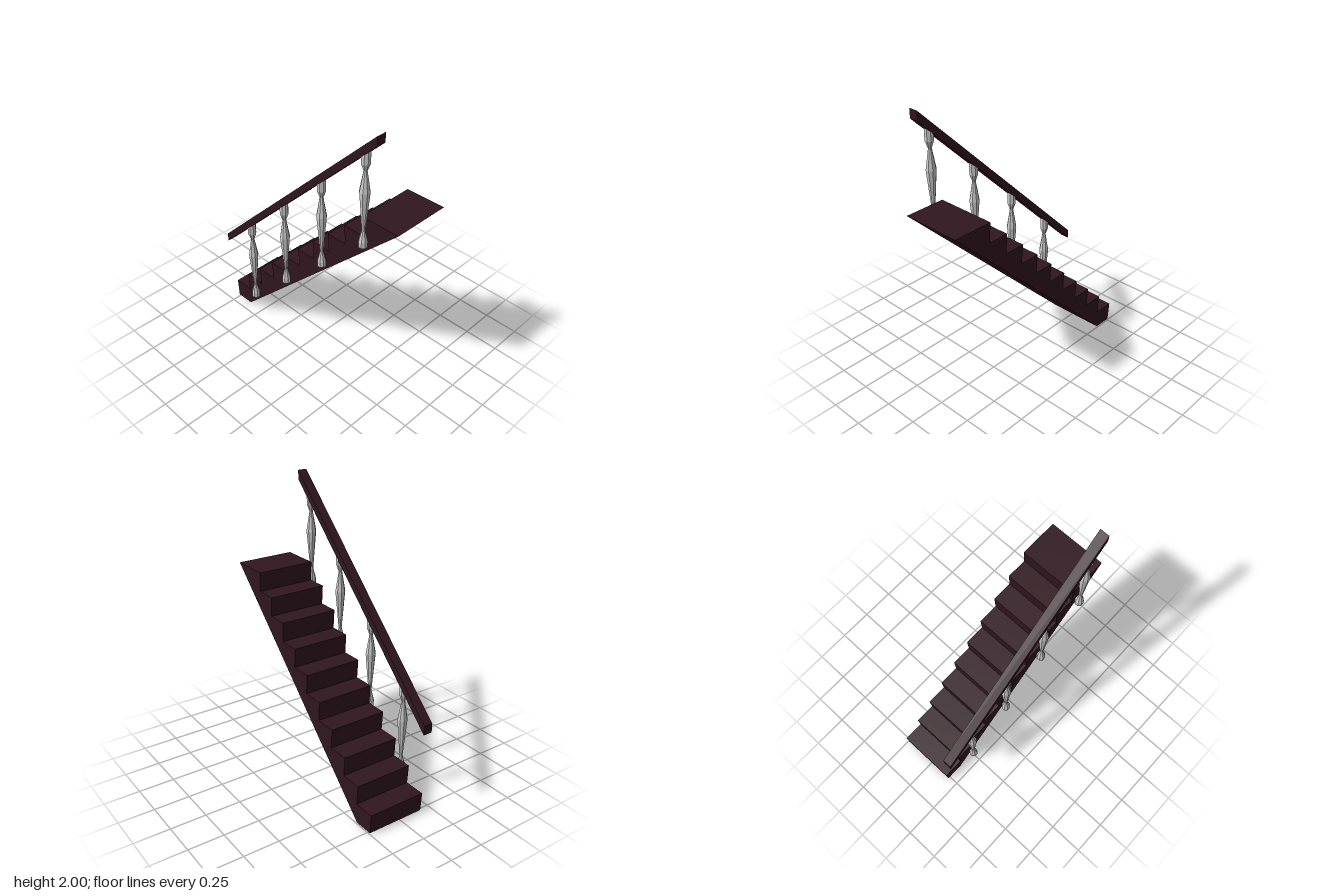
import * as THREE from 'three';

const wood = new THREE.MeshStandardMaterial({ color: 0x30161f, flatShading: true });
const grey = new THREE.MeshStandardMaterial({ color: 0xcccccc, flatShading: true });

// Extrudes a side outline of [z, y] points across x from x0 to x1
function sideExtrude(name, points, x0, x1) {
  const shape = new THREE.Shape(points.map(([z, y]) => new THREE.Vector2(z, y)));
  const geo = new THREE.ExtrudeGeometry(shape, { depth: x1 - x0, bevelEnabled: false });
  geo.rotateY(-Math.PI / 2);
  geo.translate(x1, 0, 0);
  const mesh = new THREE.Mesh(geo, wood);
  mesh.name = name;
  return mesh;
}

export function createModel() {
  const group = new THREE.Group();
  group.name = 'staircase';

  // Solid flight: ten steps with slightly undercut risers and a sloping underside
  const steps = 10, rise = 0.1375, run = 0.1409, firstNose = -0.775;
  const outline = [[0.777, steps * rise], [-0.63, 0]];
  for (let i = 0; i < steps; i++) {
    const nose = firstNose + i * run;
    outline.push([nose + 0.01, i * rise], [nose, (i + 1) * rise]);
  }
  group.add(sideExtrude('stairFlight', outline, -0.177, 0.242));

  // Sloping handrail with upright ends
  group.add(sideExtrude('handrail',
    [[-0.76, 0.565], [0.645, 1.935], [0.645, 2], [-0.76, 0.63]], -0.243, -0.177));

  // Turned balusters, standing beside the steps and running up into the rail
  const profile = [
    [0, 0], [0.03, 0], [0.03, 0.04], [0.011, 0.115], [0.035, 0.39],
    [0.012, 0.53], [0.03, 0.58], [0.03, 0.67], [0, 0.67],
  ].map(([r, y]) => new THREE.Vector2(r, y));
  const balusterGeo = new THREE.LatheGeometry(profile, 8, Math.PI / 8);
  for (let i = 0; i < 4; i++) {
    const baluster = new THREE.Mesh(balusterGeo, grey);
    baluster.name = 'baluster' + (i + 1);
    baluster.position.set(-0.21, 0.165 + i * 0.344, -0.514 + i * 0.351);
    group.add(baluster);
  }
  return group;
}
